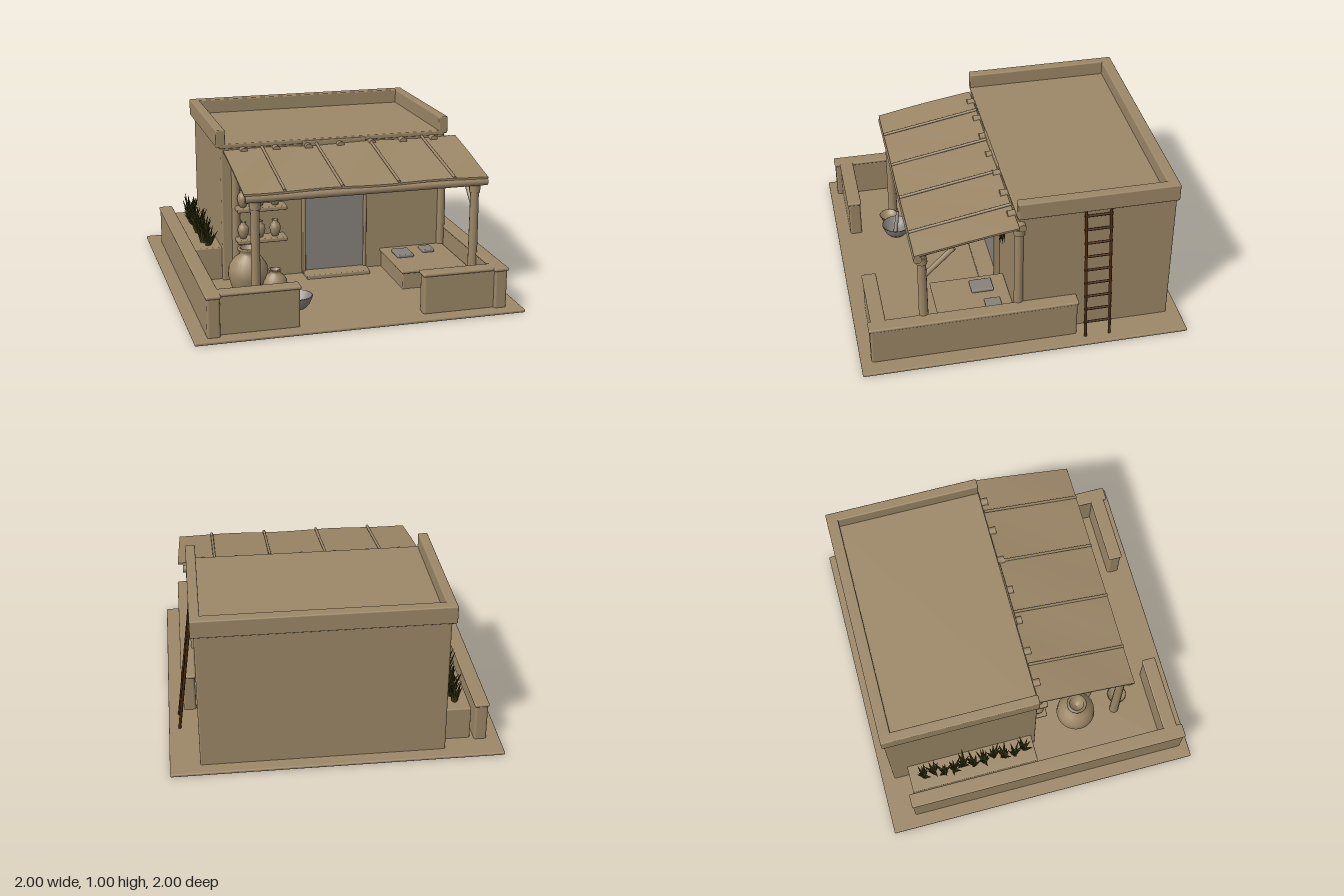
import * as THREE from 'three';
import { RoundedBoxGeometry } from 'three/addons/geometries/RoundedBoxGeometry.js';

export function createModel() {
  const root = new THREE.Group();
  root.name = 'courtyardHouse';
  const mat = (name, color, side = THREE.FrontSide) => {
    const m = new THREE.MeshStandardMaterial({ color, side });
    m.name = name;
    return m;
  };
  const clay = mat('clay', 0x9c8767);
  const stone = mat('greyStone', 0x88827b);
  const wood = mat('darkWood', 0x4a2a0e);
  const leaf = mat('leaf', 0x3d3a10, THREE.DoubleSide);

  const add = (name, geo, material, x = 0, y = 0, z = 0, parent = root) => {
    const m = new THREE.Mesh(geo, material);
    m.name = name;
    m.position.set(x, y, z);
    parent.add(m);
    return m;
  };
  // Softened box given by its minimum and maximum corners
  const box = (name, material, x0, x1, y0, y1, z0, z1, r = 0.008) => {
    const s = [x1 - x0, y1 - y0, z1 - z0];
    const geo = new RoundedBoxGeometry(...s, 2, Math.min(r, Math.min(...s) * 0.45));
    return add(name, geo, material, (x0 + x1) / 2, (y0 + y1) / 2, (z0 + z1) / 2);
  };
  // Round pole between two points
  const up = new THREE.Vector3(0, 1, 0);
  const pole = (name, material, a, b, r, rEnd = r, sides = 12) => {
    const p = new THREE.Vector3(...a), d = new THREE.Vector3(...b).sub(p);
    const m = add(name, new THREE.CylinderGeometry(rEnd, r, d.length(), sides), material);
    m.position.copy(p).addScaledVector(d, 0.5);
    m.quaternion.setFromUnitVectors(up, d.clone().normalize());
    return m;
  };
  const lathe = (name, material, profile, x, y, z) =>
    add(name, new THREE.LatheGeometry(profile.map(([r, h]) => new THREE.Vector2(r, h)), 24), material, x, y, z);
  let seed = 7;
  const rand = () => (seed = (seed * 16807) % 2147483647) / 2147483647;

  // Ground slab and house
  box('groundSlab', clay, -1, 1, 0, 0.02, -1, 1);
  box('houseWalls', clay, -0.65, 0.82, 0.01, 0.905, -0.92, 0.03, 0.012);

  // Roof with a parapet on three sides
  box('roofEdge', clay, -0.66, 0.82, 0.88, 0.91, -0.92, 0.035);
  box('parapetLeftEnd', clay, -0.68, -0.62, 0.9, 1, -0.93, 0.035);
  box('parapetRightEnd', clay, 0.78, 0.84, 0.89, 1, -0.93, 0.035);
  box('parapetBack', clay, -0.68, 0.84, 0.89, 1, -0.93, -0.86);
  box('parapetSkirt', clay, -0.68, -0.64, 0.89, 0.93, -0.93, 0.035);
  for (let i = 0; i < 7; i++) {
    const x = -0.51 + i * 0.207;
    pole('roofBeamEnd', clay, [x, 0.865, 0], [x, 0.865, 0.08], 0.024);
  }

  // Doorway
  box('doorSurround', clay, -0.13, 0.285, 0.02, 0.9, 0.01, 0.045);
  box('doorPanel', stone, -0.115, 0.275, 0.04, 0.59, 0.043, 0.05, 0.001);
  for (const x of [-0.135, 0.27]) box('doorJamb', clay, x, x + 0.02, 0.02, 0.6, 0.02, 0.065);
  box('lintel', clay, -0.16, 0.31, 0.61, 0.65, 0.02, 0.08);
  box('lintelLower', clay, -0.145, 0.3, 0.585, 0.612, 0.02, 0.07);
  box('doorStep', clay, -0.13, 0.29, 0.015, 0.045, 0.02, 0.16);

  // Courtyard walls with a slightly wider coping
  const yardWall = (x0, x1, z0, z1) => {
    box('yardWall', clay, x0 + 0.006, x1 - 0.006, 0.01, 0.26, z0 + 0.006, z1 - 0.006, 0.015);
    box('yardWallCoping', clay, x0, x1, 0.25, 0.272, z0, z1, 0.01);
  };
  yardWall(-0.925, -0.835, -0.85, 0.955);
  yardWall(-0.9, -0.36, 0.83, 0.92);
  yardWall(0.82, 0.91, -0.33, 0.94);
  yardWall(0.38, 0.88, 0.83, 0.92);

  // Bench with grinding stones
  box('bench', clay, 0.4, 0.82, 0.01, 0.13, 0.03, 0.48);
  box('benchTop', clay, 0.39, 0.82, 0.125, 0.145, 0.03, 0.5);
  box('grindingStone', stone, 0.44, 0.55, 0.143, 0.165, 0.12, 0.26);
  box('grindingStone', stone, 0.63, 0.71, 0.143, 0.165, 0.1, 0.2);

  // Porch frame
  for (const x of [-0.56, 0.81]) {
    pole('porchPost', clay, [x, 0.015, 0.6], [x, 0.72, 0.6], 0.03, 0.026);
    pole('postCap', clay, [x, 0.655, 0.6], [x, 0.7, 0.6], 0.034);
    pole('wallPost', clay, [x, 0.015, 0.025], [x, 0.82, 0.025], 0.03, 0.026);
    pole('wallPostCap', clay, [x, 0.775, 0.025], [x, 0.815, 0.025], 0.034);
    pole('porchRafter', clay, [x, 0.725, 0.63], [x, 0.84, 0], 0.024);
    pole('porchBrace', clay, [x, 0.555, 0.59], [x, 0.735, 0.41], 0.016);
  }
  pole('frontBeam', clay, [-0.625, 0.728, 0.63], [0.875, 0.728, 0.63], 0.026);
  pole('rearBeam', clay, [-0.6, 0.845, 0.015], [0.86, 0.845, 0.015], 0.024);

  // Sloping awning with a slightly uneven surface
  const awning = new THREE.BoxGeometry(1.51, 0.012, 0.61, 12, 1, 4);
  const pos = awning.attributes.position;
  for (let i = 0; i < pos.count; i++) {
    const x = pos.getX(i), t = pos.getZ(i) / 0.61 + 0.5;
    pos.setY(i, pos.getY(i) + 0.867 - 0.11 * t + 0.004 * Math.sin(x * 9 + t * 4));
    if (x > 0.75) pos.setX(i, x + 0.015 * (1 - t));
  }
  awning.computeVertexNormals();
  add('awning', awning, clay, 0.12, 0, 0.345);
  for (const x of [-0.39, -0.04, 0.31, 0.66])
    pole('awningBatten', clay, [x, 0.882, 0.04], [x, 0.77, 0.65], 0.009, 0.009, 8);

  // Shelves of small jars
  const jar = [[0, 0], [0.018, 0], [0.03, 0.025], [0.036, 0.055], [0.03, 0.08], [0.016, 0.094], [0.021, 0.107], [0.013, 0.107], [0.011, 0.09], [0, 0.085]];
  for (const y of [0.28, 0.485]) {
    box('shelf', clay, -0.57, -0.25, y, y + 0.028, 0.02, 0.13);
    for (const x of [-0.525, -0.42, -0.32]) lathe('shelfJar', clay, jar, x, y + 0.027, 0.08);
  }

  // Pots, dish, mortar and pestle
  const big = [[0, 0], [0.065, 0], [0.1, 0.06], [0.124, 0.14], [0.118, 0.2], [0.085, 0.25], [0.052, 0.272], [0.052, 0.295], [0.064, 0.305], [0.062, 0.315], [0.045, 0.315], [0.042, 0.27], [0, 0.25]];
  lathe('largePot', clay, big, -0.55, 0.015, 0.33);
  lathe('smallPot', clay, big.map(([r, h]) => [r * 0.62, h * 0.6]), -0.4, 0.015, 0.41);
  const bowl = [[0, 0], [0.045, 0], [0.075, 0.03], [0.095, 0.08], [0.088, 0.083], [0.068, 0.04], [0.035, 0.02], [0, 0.018]];
  lathe('stoneBowl', stone, bowl, -0.31, 0.018, 0.61);
  lathe('dish', clay, bowl.map(([r, h]) => [r * 0.65, h * 0.5]), -0.48, 0.018, 0.64);
  pole('pestle', stone, [-0.3, 0.045, 0.62], [-0.36, 0.165, 0.59], 0.014, 0.01);

  // Hanging herb bundles
  for (const x of [0.32, 0.445, 0.58]) {
    pole('herbTie', leaf, [x, 0.7, 0.07], [x, 0.65, 0.07], 0.007, 0.01, 6);
    for (let i = 0; i < 9; i++) {
      const a = i * 2.4, s = i ? 0.02 + 0.025 * rand() : 0;
      pole('herbLeaf', leaf, [x, 0.67, 0.07],
        [x + s * Math.cos(a), 0.53 + 0.04 * rand(), 0.075 + 0.6 * s * Math.sin(a)], 0.011, 0.001, 4);
    }
  }

  // Planter with spiky plants along the side wall
  box('planter', clay, -0.82, -0.64, 0.01, 0.23, -0.82, 0);
  for (let i = 0; i < 11; i++) {
    const z = -0.73 + i * 0.066, x = -0.735 + 0.012 * Math.sin(i * 2);
    for (let k = 0; k < 9; k++) {
      const a = k * 2.4 + i, s = 0.02 + 0.045 * rand();
      pole('plantLeaf', leaf, [x, 0.22, z],
        [x + s * Math.cos(a), 0.3 + 0.09 * rand(), z + s * Math.sin(a)], 0.015, 0.001, 4);
    }
  }

  // Ladder leaning on the side wall
  const ladderX = y => 0.934 - 0.113 * (y - 0.02) / 0.88;
  for (const z of [-0.37, -0.52]) {
    pole('ladderRail', wood, [ladderX(0.02), 0.02, z], [ladderX(0.9), 0.9, z], 0.009, 0.009, 8);
    pole('ladderTip', wood, [ladderX(0.9), 0.9, z], [ladderX(0.94), 0.94, z], 0.011, 0.001, 8);
  }
  for (let i = 0; i < 9; i++) {
    const y = 0.12 + i * 0.0915;
    pole('ladderRung', wood, [ladderX(y), y, -0.53], [ladderX(y), y, -0.36], 0.008, 0.008, 8);
  }
  return root;
}
